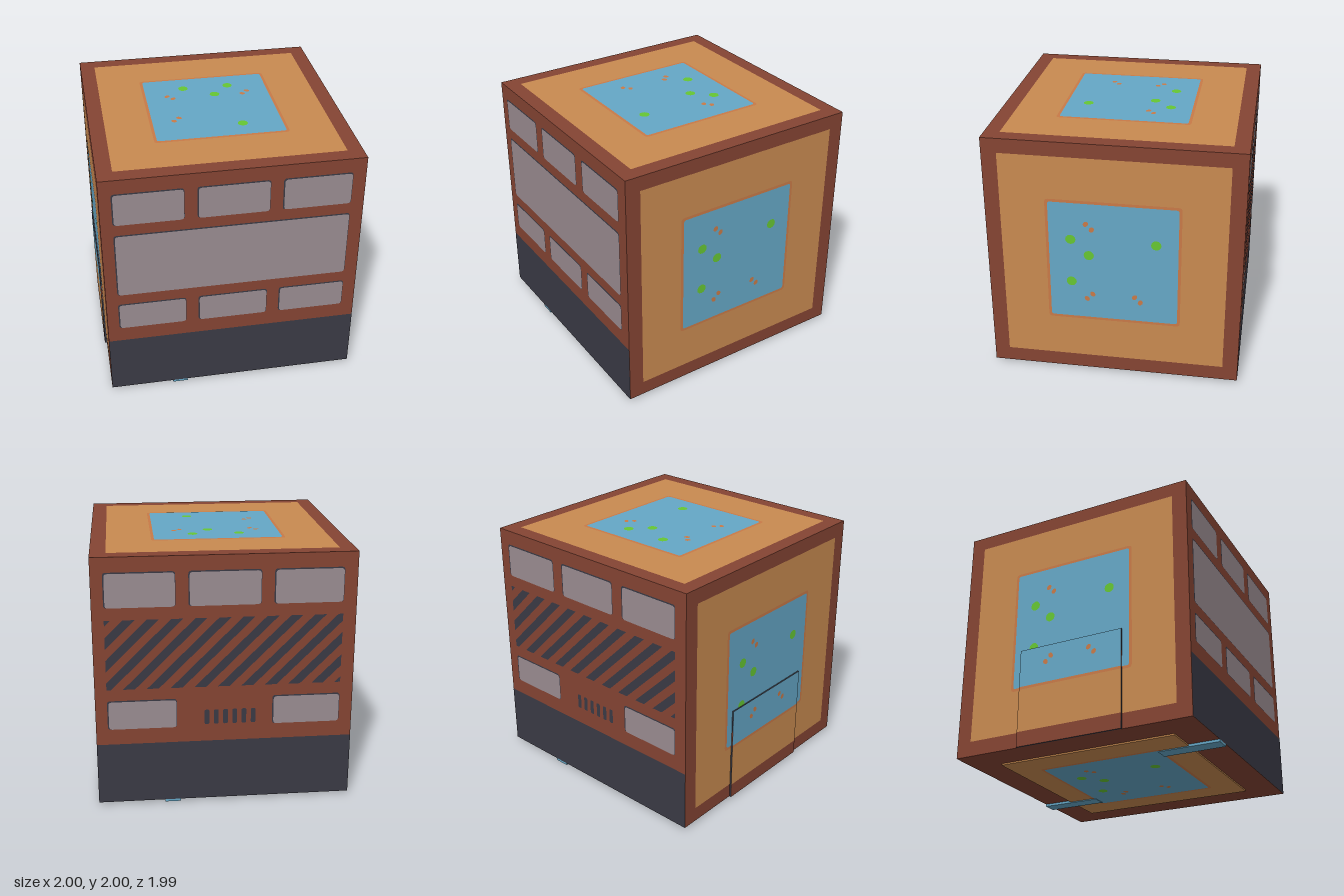
import * as THREE from 'three';

const mat = (name, color) => {
  const m = new THREE.MeshStandardMaterial({ color });
  m.name = name;
  return m;
};

export function createModel() {
  const root = new THREE.Group();
  root.name = 'panelledCube';
  const brown = mat('rustBrown', 0x854433);
  const tan = mat('tan', 0xc88a50);
  const rust = mat('wornOrange', 0xc87a48);
  const blue = mat('blue', 0x65a7c6);
  const green = mat('green', 0x66c633);
  const grey = mat('windowGrey', 0x9a8c91);
  const dark = mat('darkSlate', 0x3a3a45);
  const H = 0.99, CX = 0.01, CY = 1.01; // half size and centre of the cube
  const STEP = 0.0015; // spacing between painted layers

  const add = (parent, name, geo, m, x = 0, y = 0, z = 0) => {
    const mesh = new THREE.Mesh(geo, m);
    mesh.name = name;
    mesh.position.set(x, y, z);
    parent.add(mesh);
    return mesh;
  };

  // Box given by its limits
  const box = (parent, name, m, [x0, x1], [y0, y1], [z0, z1]) =>
    add(parent, name, new THREE.BoxGeometry(x1 - x0, y1 - y0, z1 - z0), m,
      (x0 + x1) / 2, (y0 + y1) / 2, (z0 + z1) / 2);

  // Flat rectangle with optional rounded corners, on layer z
  const rect = (parent, name, m, x0, x1, y0, y1, z, r = 0) => {
    const s = new THREE.Shape();
    if (r) {
      s.moveTo(x0 + r, y0);
      s.lineTo(x1 - r, y0).quadraticCurveTo(x1, y0, x1, y0 + r);
      s.lineTo(x1, y1 - r).quadraticCurveTo(x1, y1, x1 - r, y1);
      s.lineTo(x0 + r, y1).quadraticCurveTo(x0, y1, x0, y1 - r);
      s.lineTo(x0, y0 + r).quadraticCurveTo(x0, y0, x0 + r, y0);
    } else {
      s.moveTo(x0, y0).lineTo(x1, y0).lineTo(x1, y1).lineTo(x0, y1);
    }
    return add(parent, name, new THREE.ShapeGeometry(s, 4), m, 0, 0, z);
  };

  // Group whose local +z points out of a cube side
  const side = (name, x, y, z, rx, ry, rz = 0) => {
    const g = new THREE.Group();
    g.name = name;
    g.position.set(x, y, z);
    g.rotation.set(rx, ry, rz);
    root.add(g);
    return g;
  };

  // Pair of small worn marks in one quadrant
  const scuffs = (g, sx, sy, z) => {
    for (const [u, v] of [[0.21, 0.33], [0.165, 0.285]]) {
      const m = add(g, 'scuff', new THREE.CircleGeometry(0.024, 10), rust, sx * u, sy * v, z);
      m.scale.set(0.8, 1, 1);
      m.rotation.z = sx * sy * 0.6;
    }
  };

  // Tan border, blue square, green dots and scuffs
  const decorate = (g, border) => {
    rect(g, 'tanField', tan, -border, border, -border, border, STEP);
    rect(g, 'wornEdge', rust, -0.522, 0.522, -0.522, 0.522, 2 * STEP, 0.03);
    rect(g, 'blueSquare', blue, -0.5, 0.5, -0.5, 0.5, 3 * STEP, 0.02);
    for (const [u, v] of [[-0.33, 0.19], [0.33, 0.19], [-0.19, 0.06], [-0.33, -0.18]])
      add(g, 'greenDot', new THREE.CircleGeometry(0.04, 12), green, u, v, 4 * STEP);
    for (const [sx, sy] of [[-1, 1], [-1, -1], [1, -1]]) scuffs(g, sx, sy, 4 * STEP);
  };

  // Main body
  box(root, 'body', brown, [CX - H, CX + H], [0.02, 1.995], [-H, H]);

  // Left, right and top panels
  decorate(side('leftPanel', CX + H, CY, 0, 0, Math.PI / 2), 0.87);
  const right = side('rightPanel', CX - H, CY, 0, 0, -Math.PI / 2);
  decorate(right, 0.87);
  decorate(side('topPanel', CX, 1.995, 0, -Math.PI / 2, 0, -Math.PI / 2), 0.87);

  // Raised underside panel with the two connecting strips
  box(root, 'basePanel', tan, [CX - 0.74, CX + 0.74], [0.008, 0.021], [-0.74, 0.74]);
  decorate(side('bottomPanel', CX, 0.008, 0, Math.PI / 2, 0, Math.PI / 2), 0.74);
  box(root, 'frontStrip', blue, [-0.48, -0.36], [0, 0.021], [0.49, H]);
  box(root, 'backStrip', blue, [0.36, 0.48], [0, 0.021], [-H, -0.49]);

  // Slightly raised door on the right side, painted to match the panel
  const D = 0.0155, W = 0.44, T = -0.19;
  const door = new THREE.Group();
  door.name = 'door';
  right.add(door);
  box(door, 'doorLower', dark, [-W, W], [-H, -0.5], [0, D]);
  box(door, 'doorMiddle', brown, [-W, W], [-0.5, -0.37], [0, D]);
  box(door, 'doorUpper', dark, [-W, W], [-0.37, T], [0, D]);
  rect(door, 'doorSill', brown, -W, W, -H, -0.87, D + STEP);
  rect(door, 'doorTan', tan, -W, W, -0.87, -0.522, D + STEP);
  rect(door, 'doorWornEdge', rust, -W, W, -0.522, -0.5, D + STEP);
  rect(door, 'doorBlue', blue, -W, W, -0.5, T, D + STEP);
  scuffs(door, -1, -1, D + 2 * STEP);
  scuffs(door, 1, -1, D + 2 * STEP);

  // Front and back walls
  const pane = (g, u0, u1, y0, y1) => {
    rect(g, 'windowRim', dark, u0, u1, y0 - CY, y1 - CY, STEP, 0.025);
    rect(g, 'windowPane', grey, u0 + 0.01, u1 - 0.004, y0 - CY, y1 - CY - 0.01, 2 * STEP, 0.025);
  };
  const columns = [[-0.9, -0.37], [-0.275, 0.27], [0.365, 0.89]];
  const walls = [side('frontWall', CX, CY, H, 0, 0), side('backWall', CX, CY, -H, 0, Math.PI)];
  walls.forEach((g, back) => {
    rect(g, 'darkBase', dark, -H, H, -H, 0.515 - CY, STEP);
    columns.forEach(([a, b], i) => {
      pane(g, a, b, 1.61, 1.88);
      if (!back || i !== 1) pane(g, a, b, 0.64, 0.875);
    });
  });
  pane(walls[0], -0.9, 0.89, 0.965, 1.52);

  // Diagonal grille on the back, each bar clipped to the rectangle
  const u0 = -0.9, u1 = 0.89, v0 = 0.965 - CY, v1 = 1.515 - CY;
  const low = c => (c + v0 >= u0 ? [c + v0, v0] : [u0, u0 - c]);
  const high = c => (c + v1 <= u1 ? [c + v1, v1] : [u1, u1 - c]);
  for (let k = 0; k <= 13; k++) {
    const mid = u0 - v1 + k * 0.18;
    const a = Math.max(mid - 0.045, u0 - v1), b = Math.min(mid + 0.045, u1 - v0);
    const pts = [low(a)];
    if (a + v0 < u0 && b + v0 > u0) pts.push([u0, v0]);
    pts.push(low(b), high(b));
    if (a + v1 < u1 && b + v1 > u1) pts.push([u1, v1]);
    pts.push(high(a));
    const s = new THREE.Shape(pts.map(p => new THREE.Vector2(...p)));
    add(walls[1], 'grilleBar', new THREE.ShapeGeometry(s), dark, 0, 0, STEP);
  }

  // Small vent slots
  for (let k = 0; k < 6; k++) {
    const u = -0.14 + k * 0.0715;
    rect(walls[1], 'ventSlot', dark, u - 0.018, u + 0.018, 0.655 - CY, 0.775 - CY, STEP, 0.012);
  }
  return root;
}
